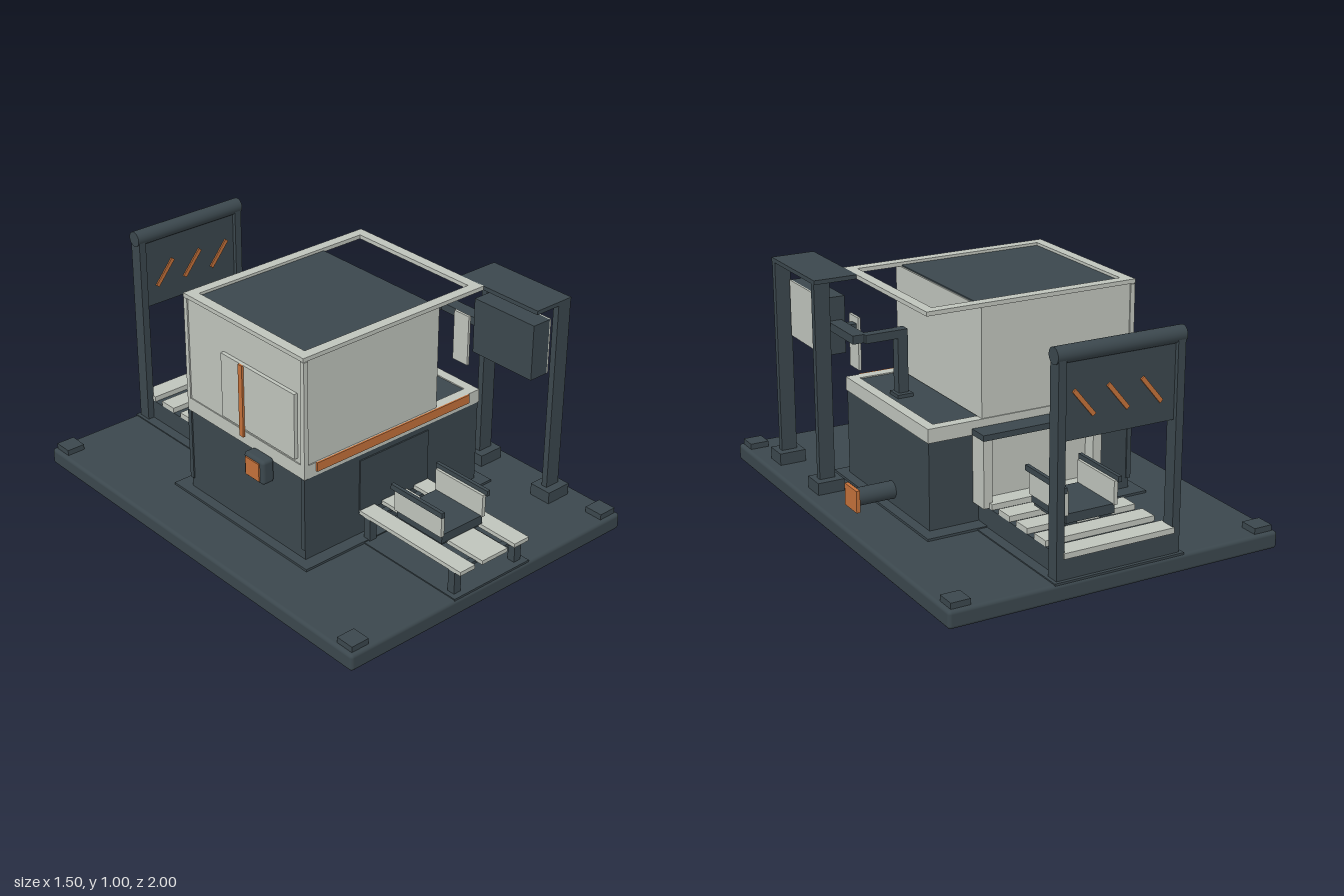
import * as THREE from 'three';
import { RoundedBoxGeometry } from 'three/addons/geometries/RoundedBoxGeometry.js';

const material = (name, color) => {
  const m = new THREE.MeshStandardMaterial({ color });
  m.name = name;
  return m;
};

export function createModel() {
  const model = new THREE.Group();
  model.name = 'processingMachine';
  const dark = material('slate', 0x3b474d);
  const light = material('paleGrey', 0xbfc4bc);
  const orange = material('orange', 0xc4713a);

  const add = (name, geometry, mat, parent) => {
    const mesh = new THREE.Mesh(geometry, mat);
    mesh.name = name;
    parent.add(mesh);
    return mesh;
  };
  // Box given by its limits on each axis
  const box = (name, mat, [x0, x1], [y0, y1], [z0, z1], parent = model) => {
    const mesh = add(name, new THREE.BoxGeometry(x1 - x0, y1 - y0, z1 - z0), mat, parent);
    mesh.position.set((x0 + x1) / 2, (y0 + y1) / 2, (z0 + z1) / 2);
    return mesh;
  };
  // Cylinder lying along x
  const rod = (name, mat, r, [x0, x1], y, z, parent = model) => {
    const mesh = add(name, new THREE.CylinderGeometry(r, r, x1 - x0, 24).rotateZ(Math.PI / 2), mat, parent);
    mesh.position.set((x0 + x1) / 2, y, z);
    return mesh;
  };
  // Flat rectangular ring
  const ring = (name, mat, [x0, x1], [y0, y1], [z0, z1], w) => {
    const g = new THREE.Group();
    g.name = name;
    model.add(g);
    for (const x of [[x0, x0 + w], [x1 - w, x1]]) box(name + 'Side', mat, x, [y0, y1], [z0, z1], g);
    for (const z of [[z0, z0 + w], [z1 - w, z1]]) box(name + 'End', mat, [x0 + w, x1 - w], [y0, y1], z, g);
  };

  // Floor plate with corner pads and thin inlays
  add('basePlate', new RoundedBoxGeometry(1.5, 0.075, 2, 3, 0.015), dark, model).position.y = 0.0375;
  for (const x of [-0.69, 0.69]) for (const z of [-0.94, 0.94])
    box('cornerPad', dark, [x - 0.042, x + 0.042], [0.07, 0.1], [z - 0.042, z + 0.042]);
  box('plinth', dark, [-0.52, 0.52], [0.07, 0.085], [-0.4, 0.47]);
  box('frontInlay', dark, [-0.21, 0.205], [0.07, 0.08], [0.47, 0.995]);
  box('backInlay', dark, [-0.295, 0.295], [0.07, 0.08], [-0.995, -0.4]);

  // Machine body
  box('lowerBody', dark, [-0.475, 0.475], [0.08, 0.46], [-0.33, 0.413]);
  box('deck', dark, [-0.44, 0.44], [0.46, 0.515], [-0.29, 0.375]);
  ring('beltBand', light, [-0.48, 0.48], [0.46, 0.52], [-0.335, 0.415], 0.045);
  box('frontStripe', orange, [-0.42, 0.415], [0.48, 0.52], [0.415, 0.423]);
  box('upperBody', light, [-0.475, 0.235], [0.52, 0.982], [-0.33, 0.41]);
  box('roof', dark, [-0.436, 0.228], [0.98, 0.988], [-0.29, 0.371]);
  ring('topFrame', light, [-0.482, 0.48], [0.982, 1], [-0.335, 0.415], 0.046);
  box('frontHatch', dark, [-0.19, 0.187], [0.185, 0.435], [0.413, 0.419]);
  for (const z of [-0.325, 0.405]) {
    box('lowerCornerTrim', dark, [-0.481, -0.46], [0.13, 0.46], [z - 0.011, z + 0.011]);
    box('upperCornerTrim', light, [-0.481, -0.46], [0.52, 0.98], [z - 0.011, z + 0.011]);
  }

  // Side door and switch box
  box('sideDoor', light, [-0.492, -0.475], [0.54, 0.83], [-0.085, 0.37]);
  box('doorStripe', orange, [-0.501, -0.492], [0.505, 0.83], [0.035, 0.06]);
  const knob = add('switchBox', new RoundedBoxGeometry(0.06, 0.11, 0.125, 3, 0.015), dark, model);
  knob.position.set(-0.505, 0.42, 0.163);
  box('switchFace', orange, [-0.541, -0.534], [0.38, 0.46], [0.12, 0.205]);

  // Tray that rides on each conveyor
  const tray = (name, z) => {
    const g = new THREE.Group();
    g.name = name;
    g.position.z = z;
    model.add(g);
    box('trayFloor', dark, [-0.112, 0.112], [0.205, 0.245], [-0.13, 0.13], g);
    for (const s of [-1, 1]) {
      const span = (a, b) => (s > 0 ? [a, b] : [-b, -a]);
      box('trayFoot', dark, span(0.055, 0.105), [0.19, 0.21], [-0.12, 0.12], g);
      box('trayWall', light, span(0.105, 0.122), [0.24, 0.342], [-0.135, 0.135], g);
      box('trayRail', dark, span(0.117, 0.133), [0.338, 0.362], [-0.147, 0.147], g);
    }
  };
  tray('frontTray', 0.685);
  tray('backTray', -0.645);

  // Front infeed table
  for (const [a, b] of [[-0.19, -0.11], [-0.07, 0.07], [0.11, 0.19]])
    box('tableRail', light, [a, b], [0.182, 0.2], [0.413, 1]);
  for (const x of [-0.17, 0.165]) for (const z of [0.46, 0.95])
    box('tableLeg', dark, [x - 0.018, x + 0.018], [0.075, 0.182], [z - 0.018, z + 0.018]);
  for (const z of [0.46, 0.95])
    box('tableCrossbar', dark, [-0.185, 0.185], [0.172, 0.184], [z - 0.015, z + 0.015]);

  // Back outfeed bed with slats
  box('outfeedBed', dark, [-0.25, 0.25], [0.075, 0.168], [-0.98, -0.33]);
  for (let i = 0; i < 5; i++) {
    const z = -0.945 + i * 0.137;
    box('bedSlat', light, [-0.25, 0.25], [0.168, 0.192], [z - 0.043, z + 0.043]);
  }

  // Back doorway
  box('doorwayLintel', dark, [-0.282, 0.282], [0.462, 0.487], [-0.428, -0.33]);
  box('doorwayCurtain', light, [-0.24, 0.24], [0.18, 0.462], [-0.36, -0.33]);
  for (const s of [-1, 1]) {
    const x = s * 0.257;
    box('doorwayJamb', light, [x - 0.02, x + 0.02], [0.17, 0.462], [-0.42, -0.33]);
  }

  // Back gantry with striped sign board
  for (const s of [-1, 1]) {
    const x = s * 0.263;
    box('gantryPost', dark, [x - 0.017, x + 0.017], [0.075, 0.96], [-0.98, -0.92]);
  }
  rod('gantryBeam', dark, 0.034, [-0.285, 0.285], 0.966, -0.95);
  box('signBoard', dark, [-0.25, 0.25], [0.63, 0.95], [-0.962, -0.938]);
  for (const x of [-0.14, 0.01, 0.16]) for (const z of [-0.965, -0.935]) {
    const bar = add('signStripe', new THREE.BoxGeometry(0.14, 0.018, 0.008), orange, model);
    bar.position.set(x, 0.77, z);
    bar.rotation.z = 0.88;
  }

  // Control stand beside the machine
  for (const z of [0.305, 0.703]) {
    box('standFoot', dark, [0.575, 0.695], [0.07, 0.128], [z - 0.052, z + 0.052]);
    box('standPost', dark, [0.6, 0.67], [0.12, 0.985], [z - 0.014, z + 0.014]);
  }
  box('standRoof', dark, [0.477, 0.672], [0.982, 1], [0.283, 0.717]);
  box('controlCabinet', dark, [0.513, 0.605], [0.655, 0.903], [0.335, 0.67]);
  box('cabinetFace', light, [0.605, 0.613], [0.655, 0.903], [0.335, 0.67]);
  box('cabinetStripe', orange, [0.575, 0.6], [0.648, 0.655], [0.345, 0.66]);

  // Jointed arm carrying a display
  box('armBase', dark, [0.34, 0.41], [0.515, 0.53], [0.06, 0.135]);
  box('armColumn', dark, [0.35, 0.395], [0.52, 0.802], [0.083, 0.128]);
  box('armReach', dark, [0.395, 0.54], [0.766, 0.802], [0.083, 0.125]);
  box('armLink', dark, [0.53, 0.59], [0.766, 0.802], [0.1, 0.34]);
  box('display', light, [0.484, 0.496], [0.598, 0.826], [0.247, 0.333]);
  box('displayMount', dark, [0.494, 0.535], [0.77, 0.798], [0.26, 0.3]);

  // Side drain pipe with coloured cap
  rod('sidePipe', dark, 0.038, [0.47, 0.65], 0.148, 0);
  box('pipeCap', orange, [0.648, 0.665], [0.1, 0.196], [-0.055, 0.055]);

  return model;
}
